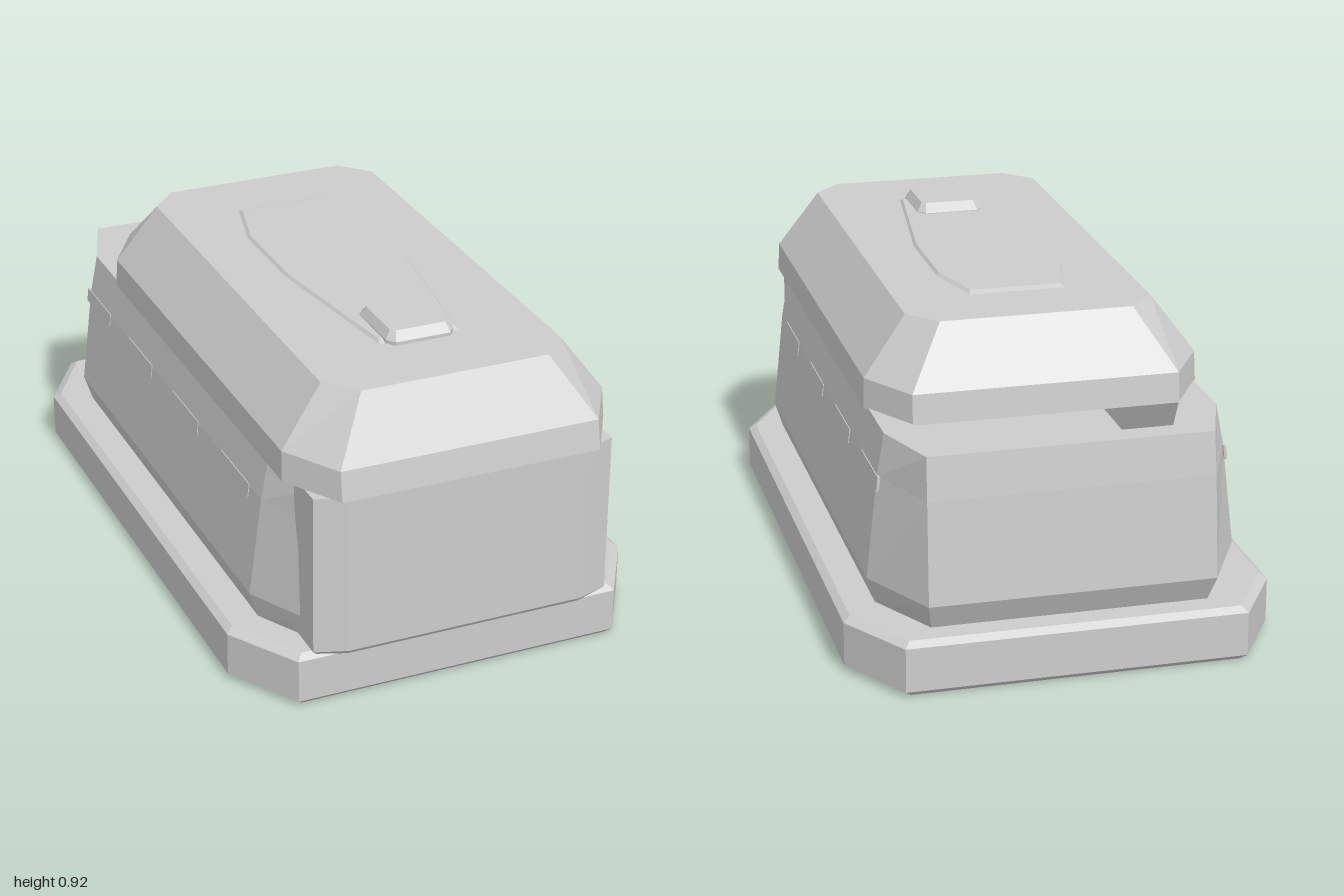
import * as THREE from 'three';

const stone = new THREE.MeshStandardMaterial({ color: 0xcccccc });
stone.name = 'stone';

// Chamfered rectangle at height y; cx, cz are the corner cuts
function ring([y, hx, z0, z1, cx, cz]) {
  return [
    [hx, z1 - cz], [hx, z0 + cz], [hx - cx, z0], [cx - hx, z0],
    [-hx, z0 + cz], [-hx, z1 - cz], [cx - hx, z1], [hx - cx, z1],
  ].map(([x, z]) => [x, y, z]);
}

// Flat-sided loft through octagonal rings, closed at both ends
function loft(name, sections) {
  const rings = sections.map(s => (Array.isArray(s[0]) ? s : ring(s)));
  const pos = [];
  const tri = (a, b, c) => pos.push(...a, ...b, ...c);
  for (let i = 0; i < rings.length - 1; i++) {
    const n = rings[i].length;
    for (let j = 0; j < n; j++) {
      const k = (j + 1) % n;
      tri(rings[i][j], rings[i][k], rings[i + 1][k]);
      tri(rings[i][j], rings[i + 1][k], rings[i + 1][j]);
    }
  }
  const bottom = rings[0], top = rings[rings.length - 1];
  for (let j = 1; j < top.length - 1; j++) {
    tri(bottom[0], bottom[j + 1], bottom[j]);
    tri(top[0], top[j], top[j + 1]);
  }
  const geo = new THREE.BufferGeometry();
  geo.setAttribute('position', new THREE.Float32BufferAttribute(pos, 3));
  geo.computeVertexNormals();
  const mesh = new THREE.Mesh(geo, stone);
  mesh.name = name;
  return mesh;
}

export function createModel() {
  const model = new THREE.Group();
  model.name = 'stoneCoffin';

  // Plinth with bevelled edges
  model.add(loft('plinth', [
    [0, 0.58, -0.985, 0.925, 0.12, 0.2],
    [0.015, 0.6, -1, 0.94, 0.125, 0.205],
    [0.14, 0.6, -1, 0.94, 0.125, 0.205],
    [0.155, 0.58, -0.98, 0.92, 0.12, 0.2],
  ]));

  // Hollow chest: up the outside, over the rim, down to the floor
  model.add(loft('chest', [
    [0.15, 0.495, -0.91, 0.9, 0.11, 0.2],
    [0.23, 0.52, -0.95, 0.93, 0.12, 0.23],
    [0.52, 0.487, -0.925, 0.92, 0.09, 0.21],
    [0.64, 0.465, -0.91, 0.91, 0.07, 0.2],
    [0.64, 0.375, -0.84, 0.84, 0.075, 0.18],
    [0.4, 0.345, -0.8, 0.8, 0.075, 0.14],
  ]));

  // Front slab with chamfered upright edges
  model.add(loft('frontSlab', [
    [0.155, 0.425, 0.79, 0.97, 0.08, 0.03],
    [0.168, 0.437, 0.79, 0.98, 0.09, 0.03],
    [0.635, 0.437, 0.79, 0.98, 0.09, 0.03],
  ]));

  // Rounded head resting on the chest floor
  const head = new THREE.Mesh(
    new THREE.SphereGeometry(0.11, 8, 4).toNonIndexed(), stone);
  head.geometry.computeVertexNormals();
  head.name = 'innerHead';
  head.position.set(0, 0.44, -0.745);
  model.add(head);

  // Lid, shifted forward so the back of the chest is open
  model.add(loft('lid', [
    [0.636, 0.475, -0.665, 1, 0.1, 0.17],
    [0.72, 0.472, -0.655, 0.985, 0.098, 0.165],
    [0.885, 0.35, -0.548, 0.88, 0.078, 0.085],
  ]));

  // Low tapered relief on the lid
  const outline = (y, s) => [
    [0.19, 0.15], [0.19, -0.15], [0.14, -0.35], [-0.14, -0.35],
    [-0.19, -0.15], [-0.19, 0.15], [-0.12, 0.66], [0.12, 0.66],
  ].map(([x, z]) => [x * s, y, (z - 0.15) * s + 0.15]);
  model.add(loft('lidRelief', [outline(0.88, 1), outline(0.893, 0.94)]));

  // Square boss near the front of the lid
  model.add(loft('lidBoss', [
    [0.88, 0.1, 0.45, 0.675, 0.02, 0.025],
    [0.895, 0.1, 0.45, 0.675, 0.02, 0.025],
    [0.92, 0.085, 0.477, 0.655, 0.012, 0.012],
  ]));

  // Shallow bands along both sides of the chest
  for (const side of [-1, 1]) {
    for (const z of [0.52, 0.13, -0.255, -0.63]) {
      const band = new THREE.Mesh(new THREE.BoxGeometry(0.008, 0.04, 0.21), stone);
      band.name = 'sideBand';
      band.position.set(side * 0.487, 0.505, z);
      band.rotation.z = side * 0.113;
      model.add(band);
    }
  }
  return model;
}
